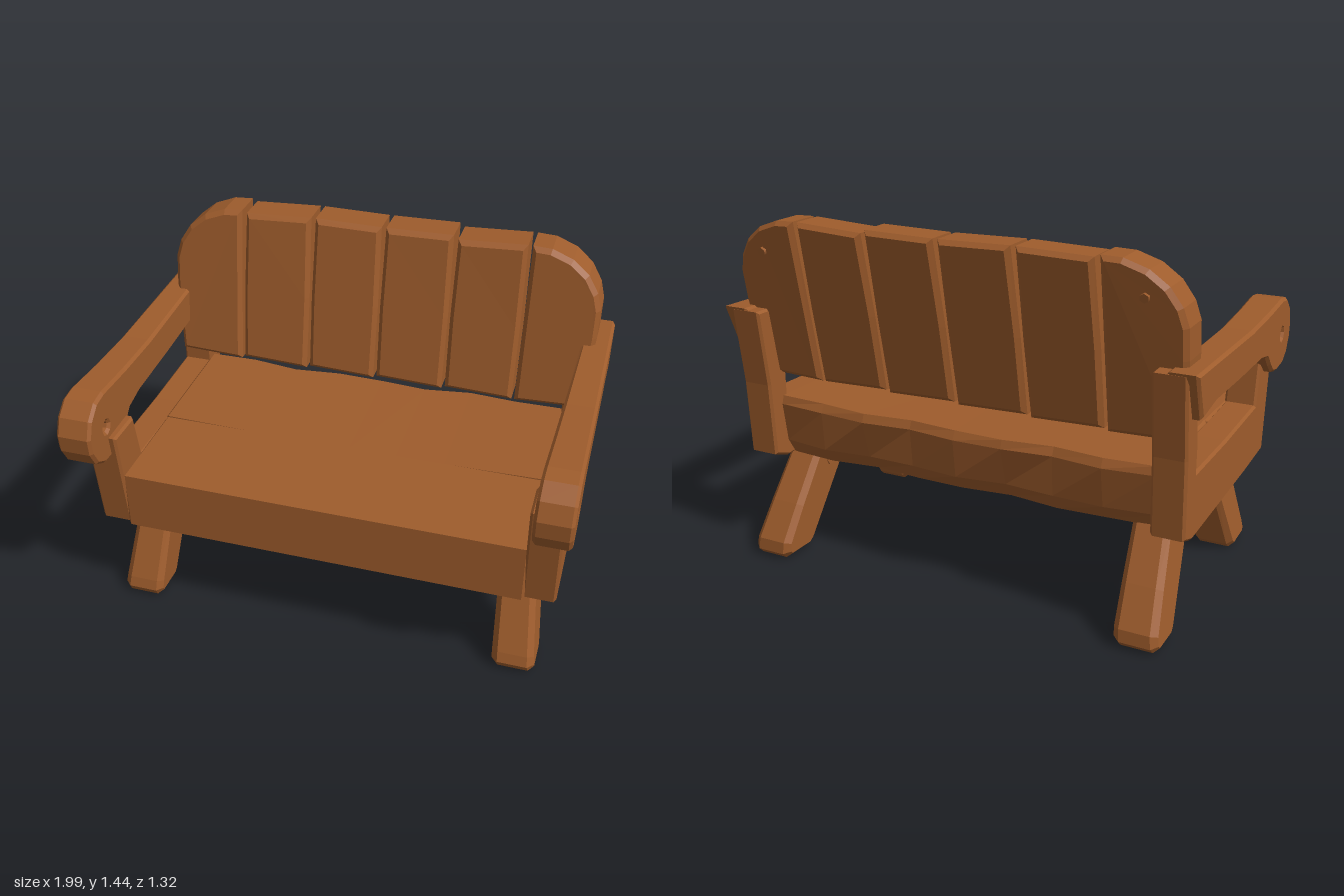
import * as THREE from 'three';

const wood = new THREE.MeshStandardMaterial({ color: 0x9e5c2c });

// Chamfered board: outline points extruded from 0 to depth
function board(points, depth, bevel, hole, steps = 1) {
  const shape = new THREE.Shape(points.map(([x, y]) => new THREE.Vector2(x, y)));
  if (hole) {
    const path = new THREE.Path();
    path.absarc(hole[0], hole[1], hole[2], 0, Math.PI * 2, true);
    shape.holes.push(path);
  }
  const geo = new THREE.ExtrudeGeometry(shape, {
    depth: depth - 2 * bevel, steps, curveSegments: 4, bevelEnabled: true,
    bevelThickness: bevel, bevelSize: bevel, bevelOffset: -bevel, bevelSegments: 1
  });
  return geo.translate(0, 0, bevel);
}

// Board drawn in side profile as [z, y], spanning x0 to x1
function sideBoard(points, x0, x1, bevel, hole, steps) {
  const geo = board(points.map(([z, y]) => [-z, y]), x1 - x0, bevel,
    hole && [-hole[0], hole[1], hole[2]], steps);
  return geo.rotateY(Math.PI / 2).translate(x0, 0, 0);
}

// Move every vertex by a rule and refresh the facets
function deform(geo, rule) {
  const pos = geo.attributes.position, p = new THREE.Vector3();
  for (let i = 0; i < pos.count; i++) {
    rule(p.fromBufferAttribute(pos, i));
    pos.setXYZ(i, p.x, p.y, p.z);
  }
  geo.computeVertexNormals();
  return geo;
}

export function createModel() {
  const bench = new THREE.Group();
  bench.name = 'bench';
  const add = (geo, name) => {
    const mesh = new THREE.Mesh(geo, wood);
    mesh.name = name;
    bench.add(mesh);
    return mesh;
  };

  // Seat: two thick planks, the rear one with a rough-hewn back
  add(sideBoard([[0.48, 0.412], [0.48, 0.665], [0.042, 0.672], [0.042, 0.412]],
    -0.835, 0.835, 0.01), 'frontSeatPlank');
  add(deform(sideBoard([[0.04, 0.412], [0.04, 0.668], [-0.5, 0.675], [-0.515, 0.64], [-0.49, 0.48], [-0.44, 0.412]],
    -0.835, 0.835, 0.01, null, 8), p => {
    if (p.z < -0.3) p.z += 0.015 * Math.sin(p.x * 11 + p.y * 9);
    if (p.y > 0.6) p.y += 0.012 * p.x * p.x;
  }), 'rearSeatPlank');

  // Back slats, leaning backwards and gently bowed
  const lean = p => {
    const t = (p.y - 0.78) / 0.67;
    p.z = p.z * (1 + 0.15 * t) - 0.5 - 0.14 * t + 0.025 * p.x * p.x * t;
  };
  const tops = [[1.44, 1.45], [1.45, 1.445], [1.445, 1.45], [1.435, 1.45]];
  tops.forEach(([a, b], i) => {
    const x0 = -0.615 + i * 0.31, x1 = x0 + 0.3;
    add(deform(board([[x0 + 0.003, 0.785], [x1 - 0.002, 0.775], [x1, 1.1], [x1 - 0.004, b], [x0 + 0.006, a], [x0, 1.1]],
      0.15, 0.018), lean), 'backSlat');
  });

  const armProfile = [[-0.62, 1.08], [0.05, 1.06], [0.3, 1.067], [0.5, 1.08], [0.57, 1.07], [0.63, 1.02],
    [0.66, 0.95], [0.655, 0.88], [0.62, 0.815], [0.56, 0.78], [0.46, 0.775], [0.4, 0.79], [0.35, 0.83],
    [0.3, 0.878], [0.2, 0.898], [-0.1, 0.905], [-0.4, 0.918], [-0.55, 0.9]];
  const frameProfile = [[0.515, 0.87], [0.467, 0.42], [0.2, 0.412], [-0.48, 0.41], [-0.562, 0.44], [-0.577, 0.75],
    [-0.618, 1.07], [-0.51, 1.07], [-0.462, 0.78], [-0.462, 0.67], [-0.1, 0.662], [0.31, 0.667], [0.345, 0.87]];
  const legProfiles = {
    frontLeg: [[0.31, 0.44], [0.46, 0.09], [0.473, 0.045], [0.455, 0.012], [0.31, 0.008], [0.285, 0.03], [0.08, 0.44]],
    rearLeg: [[-0.18, 0.44], [-0.46, 0.03], [-0.49, 0.008], [-0.63, 0.01], [-0.655, 0.035], [-0.65, 0.085], [-0.56, 0.23], [-0.42, 0.44]]
  };
  const outerSlat = [[0.625, 0.775], [0.91, 0.785], [0.935, 1.1], [0.935, 1.22], [0.915, 1.29], [0.87, 1.36],
    [0.8, 1.415], [0.71, 1.447], [0.63, 1.45]];

  for (const s of [1, -1]) {
    const side = s > 0 ? 'left' : 'right';
    const span = (a, b) => (s > 0 ? [a, b] : [-b, -a]);

    // Rounded end slat with its peg
    add(deform(board(outerSlat.map(([x, y]) => [s * x, y]), 0.15, 0.018), lean), side + 'EndSlat');
    const peg = add(new THREE.CylinderGeometry(0.018, 0.018, 0.03, 6), side + 'SlatPeg');
    peg.rotation.x = Math.PI / 2 - 0.2;
    peg.position.set(s * 0.79, 1.32, -0.597);

    // Armrest with a drilled round end, thinner towards the back
    add(deform(sideBoard(armProfile, ...span(0.85, 0.995), 0.012, [0.515, 0.925, 0.024]), p => {
      if (Math.abs(p.x) < 0.9) p.x += s * 0.03 * (0.66 - p.z) / 1.28;
    }), side + 'Armrest');

    // Side frame: front post, rail and rear post
    add(sideBoard(frameProfile, ...span(0.825, 0.957), 0.01), side + 'SideFrame');

    // Splayed legs with pegs through their tops
    for (const [name, profile] of Object.entries(legProfiles)) {
      add(deform(sideBoard(profile, ...span(0.71, 0.86), 0.022), p => {
        const t = 1 - p.y / 0.41;
        p.x += s * t * (0.022 + (Math.abs(p.x) - 0.71) * 0.18);
      }), side + name[0].toUpperCase() + name.slice(1));
      const front = name === 'frontLeg';
      const pin = add(new THREE.CylinderGeometry(0.026, 0.026, 0.165, 6), side + 'LegPeg');
      pin.rotation.z = Math.PI / 2;
      pin.position.set(s * 0.79, 0.365, front ? 0.235 : -0.345);
    }
  }
  return bench;
}
